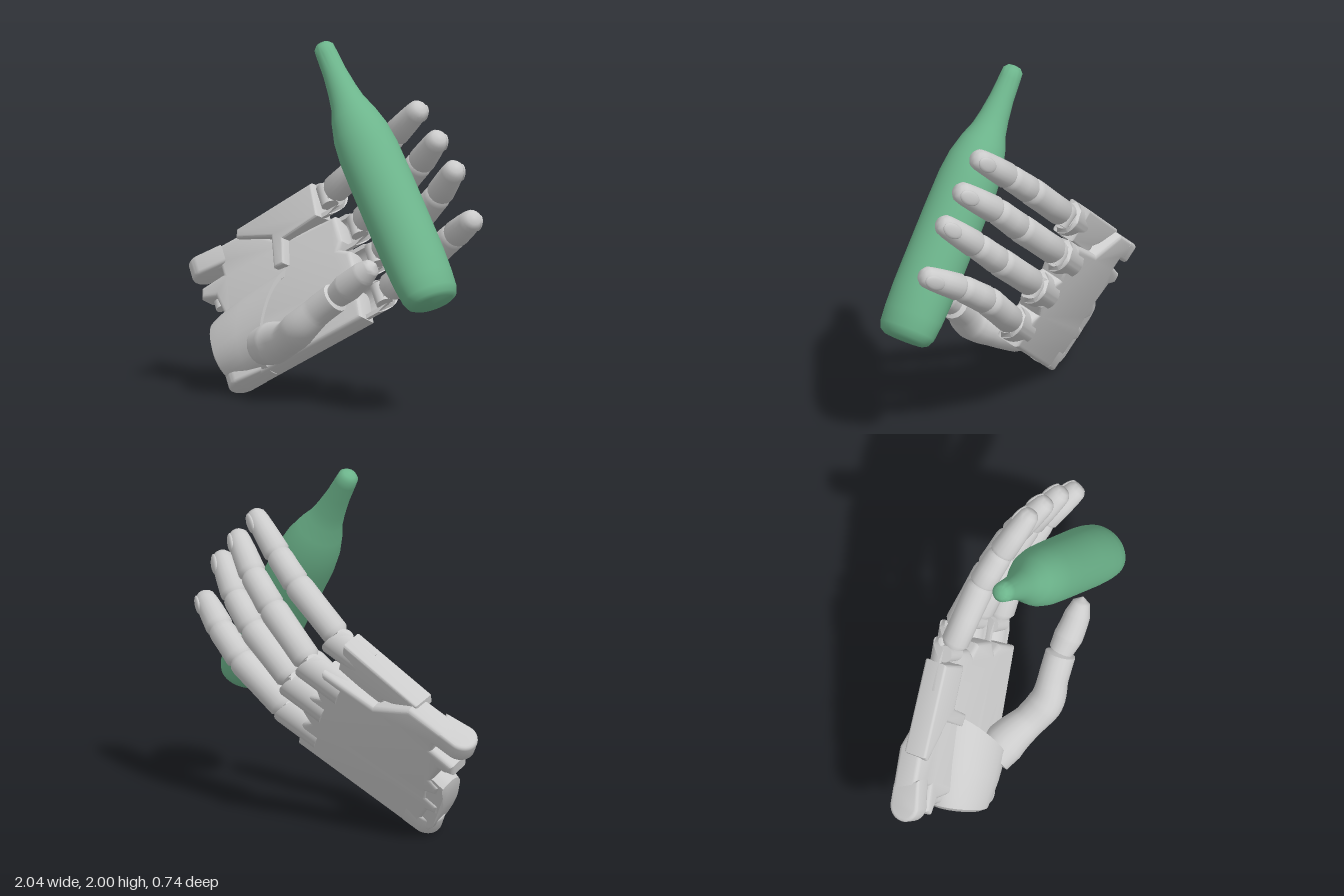
import * as THREE from 'three';
import { toCreasedNormals } from 'three/addons/utils/BufferGeometryUtils.js';

const V = (x, y, z) => new THREE.Vector3(x, y, z);
const grey = new THREE.MeshStandardMaterial({ color: 0xcccccc, side: THREE.DoubleSide });
const green = new THREE.MeshStandardMaterial({ color: 0x6db58c, side: THREE.DoubleSide });

// Hand axes: along the fingers, across to the little finger, out of the palm
const U = V(0.78, 0.5, -0.38).normalize();
const W = U.clone().cross(V(-0.597, 0.775, -0.2)).normalize();
const ACROSS = W.clone().cross(U);

function add(parent, name, geo, mat = grey, crease = 0.6) {
  const mesh = new THREE.Mesh(toCreasedNormals(geo, crease), mat);
  mesh.name = name;
  parent.add(mesh);
  return mesh;
}

function lathe(points, sides = 18) {
  return new THREE.LatheGeometry(points.map(([r, y]) => new THREE.Vector2(r, y)), sides);
}

// Moves every vertex of a geometry by a rule
function reshape(geo, rule) {
  const pos = geo.attributes.position;
  for (let i = 0; i < pos.count; i++) pos.setXYZ(i, ...rule(pos.getX(i), pos.getY(i), pos.getZ(i)));
  return geo;
}

function slab(points, depth, bevel = 0.015) {
  const shape = new THREE.Shape(points.map(([a, b]) => new THREE.Vector2(a, b)));
  const geo = new THREE.ExtrudeGeometry(shape, {
    depth: depth - 2 * bevel, bevelEnabled: true, bevelThickness: bevel,
    bevelSize: bevel, bevelOffset: -bevel, bevelSegments: 3,
  });
  return geo.translate(0, 0, bevel);
}

// Group whose y runs from p to q and whose z points to the back of the hand
function frame(parent, name, p, q) {
  const y = q.clone().sub(p).normalize();
  const x = y.clone().cross(W.clone().negate()).normalize();
  const group = new THREE.Group();
  group.name = name;
  group.applyMatrix4(new THREE.Matrix4().makeBasis(x, y, x.clone().cross(y)).setPosition(p));
  parent.add(group);
  return group;
}

// One finger bone with rounded ends
function phalanx(parent, name, p, q, r0, r1, tip = false) {
  const L = p.distanceTo(q);
  const g = frame(parent, name, p, q);
  const end = tip
    ? [[r1, L - 0.07], [r1 * 0.9, L - 0.03], [r1 * 0.6, L - 0.006], [0, L]]
    : [[r1 * 1.03, L - 0.03], [r1 * 0.97, L], [r1 * 0.6, L + 0.035], [0, L + 0.04]];
  add(g, name, lathe([[0, -0.01], [r0 * 0.75, 0], [r0, 0.03], [(r0 + r1) * 0.5, L * 0.5], ...end]), grey, 0.8);
  if (tip) {
    const nail = add(g, 'nail', new THREE.SphereGeometry(1, 14, 10));
    nail.scale.set(0.042, 0.062, 0.016);
    nail.position.set(0, L - 0.07, r1 * 0.86);
    nail.rotation.x = -0.14;
  }
}

// Hinge between the palm and a finger, then three bones
function finger(parent, name, pts, k) {
  const g = new THREE.Group();
  g.name = name;
  parent.add(g);
  const [a, b, c, d] = pts.map((p) => V(...p));
  const hinge = frame(g, 'hinge', a, b);
  add(hinge, 'hingeBarrel', new THREE.CylinderGeometry(0.048, 0.048, 0.12, 16).rotateZ(Math.PI / 2));
  for (const s of [-1, 1]) {
    const tongue = add(hinge, 'hingeTongue', new THREE.BoxGeometry(0.026, 0.14, 0.07));
    tongue.position.set(s * 0.028, 0.05, 0);
  }
  const start = a.clone().lerp(b, 0.045 / a.distanceTo(b));
  phalanx(g, 'proximalBone', start, b, 0.08 * k, 0.08 * k);
  phalanx(g, 'middleBone', b, c, 0.08 * k, 0.074 * k);
  phalanx(g, 'fingertip', c, d, 0.077 * k, 0.064 * k, true);
}

// Tube whose radius varies along its length
function limb(points, radii, steps = 40, sides = 18) {
  const curve = new THREE.CatmullRomCurve3(points.map((p) => V(...p)));
  const geo = new THREE.TubeGeometry(curve, steps, 1, sides, false);
  const pos = geo.attributes.position;
  for (let i = 0; i <= steps; i++) {
    const t = i / steps;
    const c = curve.getPointAt(t);
    const n = radii.findIndex(([s]) => s >= t - 1e-6);
    const [t1, r1] = radii[n];
    const [t0, r0] = radii[Math.max(0, n - 1)];
    const r = t1 > t0 ? THREE.MathUtils.lerp(r0, r1, (t - t0) / (t1 - t0)) : r1;
    for (let j = 0; j <= sides; j++) {
      const v = i * (sides + 1) + j;
      const p = V(0, 0, 0).fromBufferAttribute(pos, v).sub(c).multiplyScalar(Math.max(r, 1e-4)).add(c);
      pos.setXYZ(v, p.x, p.y, p.z);
    }
  }
  return geo;
}

// Half-round trough along the fingers, with a rounded lobe as its end
function knuckleCup() {
  const ring = new THREE.Shape();
  ring.absarc(0, 0, 0.1, Math.PI, 2 * Math.PI, false);
  ring.absarc(0, 0, 0.076, 2 * Math.PI, Math.PI, true);
  const geo = new THREE.ExtrudeGeometry(ring, { depth: 0.28, bevelEnabled: false, curveSegments: 16 });
  reshape(geo, (x, y, z) => [x, y, z > 0.1 ? z - 0.1 * (1 - Math.sqrt(Math.max(0, 1 - (x / 0.1) ** 2))) : z]);
  return geo.applyMatrix4(new THREE.Matrix4().makeBasis(V(0, 1, 0), V(0, 0, 1), V(1, 0, 0)));
}

// Wrist lug: rounded in side view, extruded across the hand
function wristLug(width, r) {
  const shape = new THREE.Shape();
  shape.absarc(0, 0, r, Math.PI / 2, Math.PI * 1.5, false);
  shape.lineTo(0.1, -r);
  shape.lineTo(0.16, r * 0.75);
  const geo = new THREE.ExtrudeGeometry(shape, {
    depth: width - 0.04, bevelThickness: 0.02, bevelSize: 0.02, bevelOffset: -0.02, bevelSegments: 3, curveSegments: 14,
  });
  return geo.rotateX(Math.PI / 2).translate(0, width - 0.02, 0);
}

function buildPalm(root) {
  const palm = new THREE.Group();
  palm.name = 'palm';
  palm.applyMatrix4(new THREE.Matrix4().makeBasis(U, ACROSS, W).setPosition(-0.55, 0.05, 0.13));
  root.add(palm);

  // Main plate with the notched wrist edge
  add(palm, 'palmPlate', slab([
    [0.02, -0.08], [0.86, -0.085], [0.88, 0.08], [0.84, 0.13], [0.9, 0.17], [0.9, 0.32], [0.84, 0.36],
    [0.87, 0.4], [0.87, 0.56], [0.52, 0.58], [0.32, 0.75], [0.04, 0.75], [0.04, 0.64], [0.11, 0.63], [0.11, 0.58],
    [-0.04, 0.57], [-0.06, 0.51], [0.03, 0.48], [0.05, 0.36], [-0.01, 0.34], [-0.01, 0.28], [0.05, 0.25],
    [0.04, 0.21], [-0.04, 0.2], [-0.05, 0.14], [0.01, 0.12], [0.02, 0.06],
  ], 0.145, 0.025));

  // Rounded wrist lugs and the small pins between them
  add(palm, 'wristLug', wristLug(0.115, 0.09)).position.set(0.0, 0.635, 0.09);
  add(palm, 'wristLug', wristLug(0.13, 0.09)).position.set(0.03, -0.08, 0.09);
  for (const b of [0.44, 0.3]) {
    const pin = add(palm, 'wristPin', new THREE.CylinderGeometry(0.035, 0.035, 0.05, 14));
    pin.position.set(0.03, b, 0.1);
  }

  // Hinged plate that carries the little finger
  const side = add(palm, 'littleFingerPlate', slab([
    [0.3, 0.765], [0.28, 0.72], [0.5, 0.61], [0.46, 0.43], [0.53, 0.42], [0.57, 0.56], [0.82, 0.57], [0.84, 0.77],
  ], 0.14));
  side.position.z = 0.025;
  side.rotation.y = -0.07;

  // Cups behind the knuckles
  for (const [a, b, w] of [[1.04, 0.02, 0.09], [1.06, 0.25, 0.08], [1.01, 0.47, 0.08], [0.95, 0.67, 0.175]]) {
    add(palm, 'knuckleCup', knuckleCup()).position.set(a - 0.28, b, w);
  }

  // Thumb mound: a shell with a slanted open socket, spread towards the palm and flat at the back
  const mound = lathe([[0, -0.05], [0.13, -0.05], [0.165, -0.03], [0.18, 0.02], [0.2, 0.12],
    [0.215, 0.26], [0.19, 0.26], [0.165, 0.16], [0, 0.13]], 36).rotateZ(-Math.PI / 2);
  reshape(mound, (t, y, z) => {
    const b = 0.13 + (y > 0 ? y * 1.4 : y);
    return [t + 0.6 * b * Math.max(0, t / 0.27), b, Math.max(0.01, z + 0.072)];
  });
  add(palm, 'thumbMound', mound, grey, 0.7);
}

export function createModel() {
  const root = new THREE.Group();
  root.name = 'handWithBottle';
  const hand = new THREE.Group();
  hand.name = 'mechanicalHand';
  root.add(hand);
  buildPalm(hand);

  finger(hand, 'littleFinger', [[-0.23, 1.08, -0.18], [0.11, 1.34, -0.225], [0.28, 1.47, -0.22], [0.54, 1.66, -0.19]], 0.97);
  finger(hand, 'ringFinger', [[-0.08, 0.92, -0.27], [0.26, 1.18, -0.28], [0.44, 1.33, -0.27], [0.69, 1.51, -0.19]], 1);
  finger(hand, 'middleFinger', [[0.09, 0.78, -0.25], [0.43, 1.03, -0.28], [0.6, 1.17, -0.265], [0.83, 1.36, -0.19]], 1);
  finger(hand, 'indexFinger', [[0.21, 0.58, -0.19], [0.53, 0.83, -0.28], [0.73, 0.96, -0.265], [0.98, 1.09, -0.19]], 1);

  // Thumb: a bent lower part and a separate tip
  const thumb = new THREE.Group();
  thumb.name = 'thumb';
  hand.add(thumb);
  add(thumb, 'thumbBase', limb(
    [[-0.36, 0.27, 0.19], [-0.2, 0.31, 0.21], [-0.05, 0.36, 0.25], [0.06, 0.43, 0.27], [0.17, 0.53, 0.235], [0.3, 0.63, 0.195]],
    [[0, 0], [0.025, 0.11], [0.15, 0.12], [0.38, 0.095], [0.55, 0.1], [0.75, 0.085], [0.95, 0.085], [1, 0]]), grey, 0.8);
  add(thumb, 'thumbTip', limb(
    [[0.27, 0.61, 0.2], [0.38, 0.69, 0.19], [0.46, 0.75, 0.175], [0.55, 0.82, 0.15]],
    [[0, 0], [0.05, 0.07], [0.3, 0.082], [0.7, 0.072], [0.9, 0.05], [1, 0]]), grey, 0.8);

  // Bottle, leaning across the fingers, its foot wider from front to back
  const glass = lathe([
    [0, 0], [0.1, 0.004], [0.125, 0.02], [0.142, 0.06], [0.155, 0.15], [0.168, 0.28], [0.173, 0.45], [0.173, 0.75],
    [0.17, 0.95], [0.157, 1.07], [0.128, 1.18], [0.098, 1.26], [0.082, 1.34], [0.067, 1.45], [0.06, 1.56],
    [0.056, 1.61], [0.036, 1.632], [0, 1.638],
  ], 36);
  reshape(glass, (x, y, z) => [x, y, z * (1 + 0.22 * Math.max(0, 1 - y / 0.35))]);
  const bottle = add(root, 'bottle', glass, green, 0.9);
  bottle.position.set(0.885, 0.62, 0.025);
  bottle.quaternion.setFromUnitVectors(V(0, 1, 0), V(-0.566, 0.824, 0).normalize());
  return root;
}
